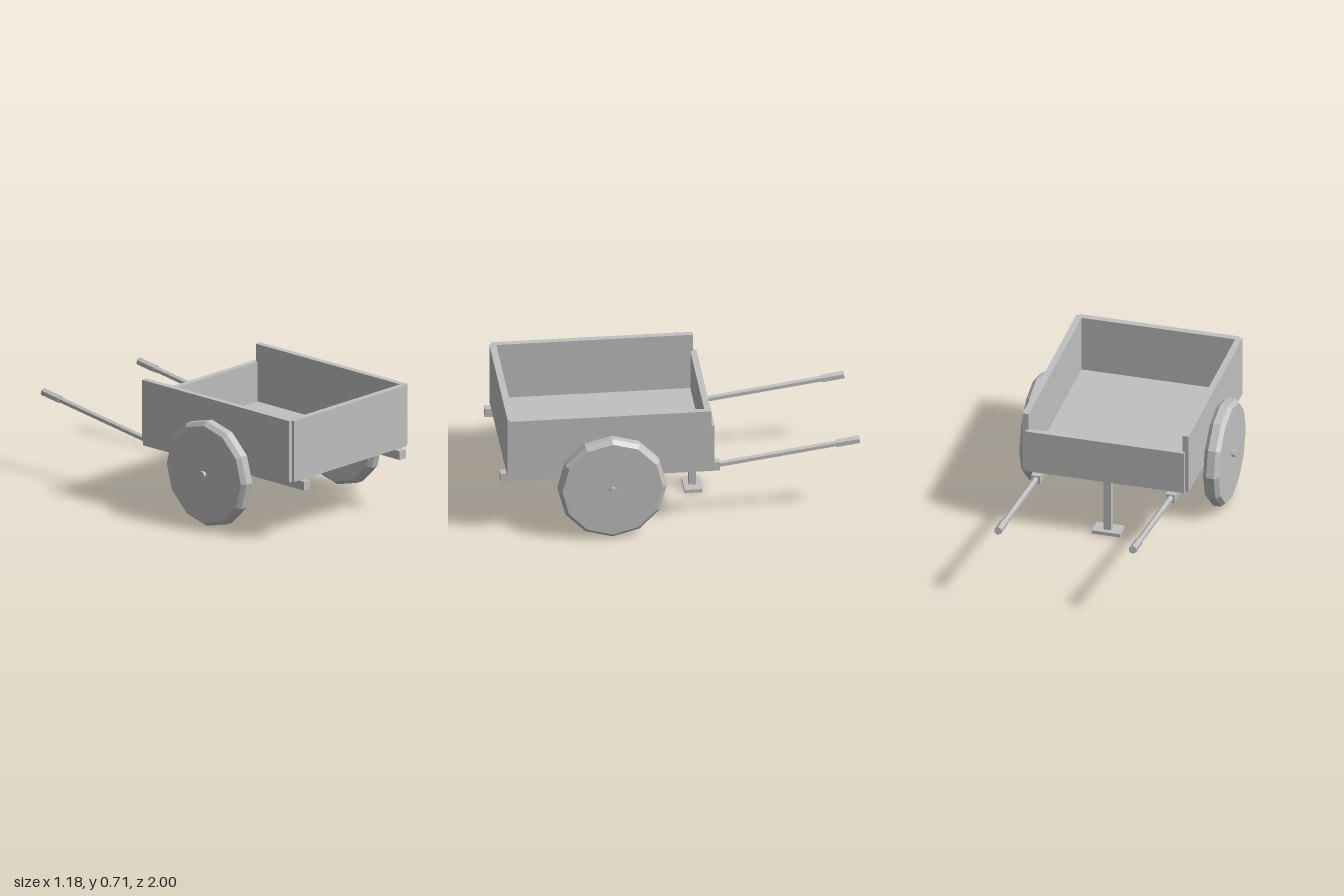
import * as THREE from 'three';

export function createModel() {
  const cart = new THREE.Group();
  cart.name = 'handCart';
  const grey = new THREE.MeshStandardMaterial({ color: 0xc0c0c0, flatShading: true });
  grey.name = 'plain grey';

  const add = (name, geometry) => {
    const mesh = new THREE.Mesh(geometry, grey);
    mesh.name = name;
    cart.add(mesh);
    return mesh;
  };
  // Box given by its limits on each axis
  const box = (name, x0, x1, y0, y1, z0, z1) =>
    add(name, new THREE.BoxGeometry(x1 - x0, y1 - y0, z1 - z0))
      .position.set((x0 + x1) / 2, (y0 + y1) / 2, (z0 + z1) / 2);
  // Six-sided rod between two points (z, y) at a given x
  const rod = (name, x, [z0, y0], [z1, y1], radius) => {
    const length = Math.hypot(z1 - z0, y1 - y0);
    const mesh = add(name, new THREE.CylinderGeometry(radius, radius, length, 6));
    mesh.position.set(x, (y0 + y1) / 2, (z0 + z1) / 2);
    mesh.rotation.x = Math.atan2(z1 - z0, y1 - y0);
  };

  // Tray
  box('floor', -0.45, 0.45, 0.355, 0.38, -0.16, 0.94);
  box('frontBoard', -0.455, 0.455, 0.357, 0.71, 0.927, 0.965);
  box('backBoard', -0.455, 0.455, 0.357, 0.61, -0.185, -0.15);

  // Chamfered wheel profile: radius, distance along the axle
  const wheelProfile = [
    [0, -0.045], [0.28, -0.045], [0.302, -0.022],
    [0.302, 0.022], [0.28, 0.045], [0, 0.045],
  ].map(([r, h]) => new THREE.Vector2(r, h));

  for (const [side, s] of [['left', 1], ['right', -1]]) {
    const a = s * 0.458, b = s * 0.386;
    box(side + 'Board', a - 0.018, a + 0.018, 0.356, 0.711, -0.165, 0.95);
    box(side + 'Rail', b - 0.025, b + 0.025, 0.306, 0.356, -0.22, 1);
    rod(side + 'HandleBar', b, [-0.2, 0.331], [-0.9, 0.429], 0.018);
    rod(side + 'Grip', b, [-0.87, 0.425], [-0.997, 0.443], 0.024);

    const wheel = add(side + 'Wheel', new THREE.LatheGeometry(wheelProfile, 12));
    wheel.rotation.z = Math.PI / 2;
    wheel.position.set(s * 0.526, 0.305, 0.393);
  }

  // Axle through both wheels
  const axle = add('axle', new THREE.CylinderGeometry(0.02, 0.02, 1.18, 6));
  axle.rotation.z = Math.PI / 2;
  axle.position.set(0, 0.306, 0.393);

  // Rest leg
  box('legPost', -0.021, 0.021, 0.015, 0.357, -0.13, -0.09);
  box('legFoot', -0.081, 0.081, 0.001, 0.021, -0.16, -0.06);

  return cart;
}
